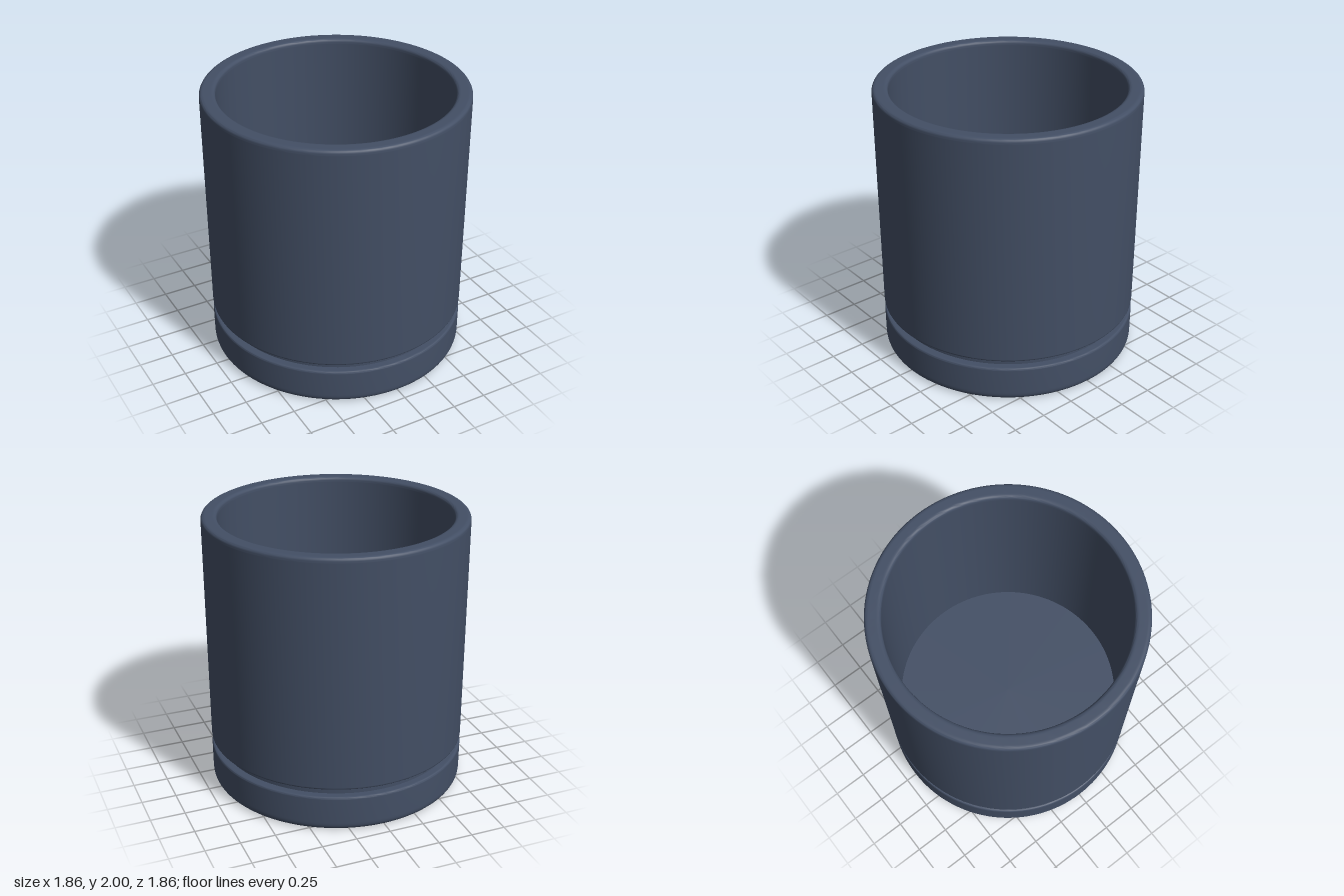
import * as THREE from 'three';
import { toCreasedNormals } from 'three/addons/utils/BufferGeometryUtils.js';

// Turns [radius, y, fillet] corners into a lathe with rounded corners.
function turned(name, corners, material) {
  const pts = [];
  corners.forEach(([r, y, fillet = 0], i) => {
    const p = new THREE.Vector2(r, y);
    if (!fillet) { pts.push(p); return; }
    const toward = (j, d) => {
      const q = new THREE.Vector2(corners[j][0], corners[j][1]);
      return p.clone().add(q.sub(p).setLength(d));
    };
    // support points just outside the fillet keep the walls evenly shaded
    pts.push(toward(i - 1, fillet * 1.2));
    const curve = new THREE.QuadraticBezierCurve(toward(i - 1, fillet), p, toward(i + 1, fillet));
    pts.push(...curve.getPoints(7));
    pts.push(toward(i + 1, fillet * 1.2));
  });
  const geometry = toCreasedNormals(new THREE.LatheGeometry(pts, 128), 0.6);
  const mesh = new THREE.Mesh(geometry, material);
  mesh.name = name;
  return mesh;
}

export function createModel() {
  const group = new THREE.Group();
  group.name = 'planterWithSaucer';
  const glaze = new THREE.MeshStandardMaterial({ color: 0x434f65 });
  glaze.name = 'slateBlueGlaze';

  // Saucer: flat base, softly rounded lower edge, tight rim
  group.add(turned('saucer', [
    [0, 0], [0.922, 0, 0.055], [0.924, 0.265, 0.018], [0.85, 0.265],
  ], glaze));

  // Pot: recessed foot, straight wall, rounded lip, hollow inside
  group.add(turned('pot', [
    [0.865, 0.22], [0.865, 0.325], [0.924, 0.325, 0.016],
    [0.932, 2, 0.03], [0.82, 2, 0.03], [0.82, 0.42], [0, 0.42],
  ], glaze));

  return group;
}
